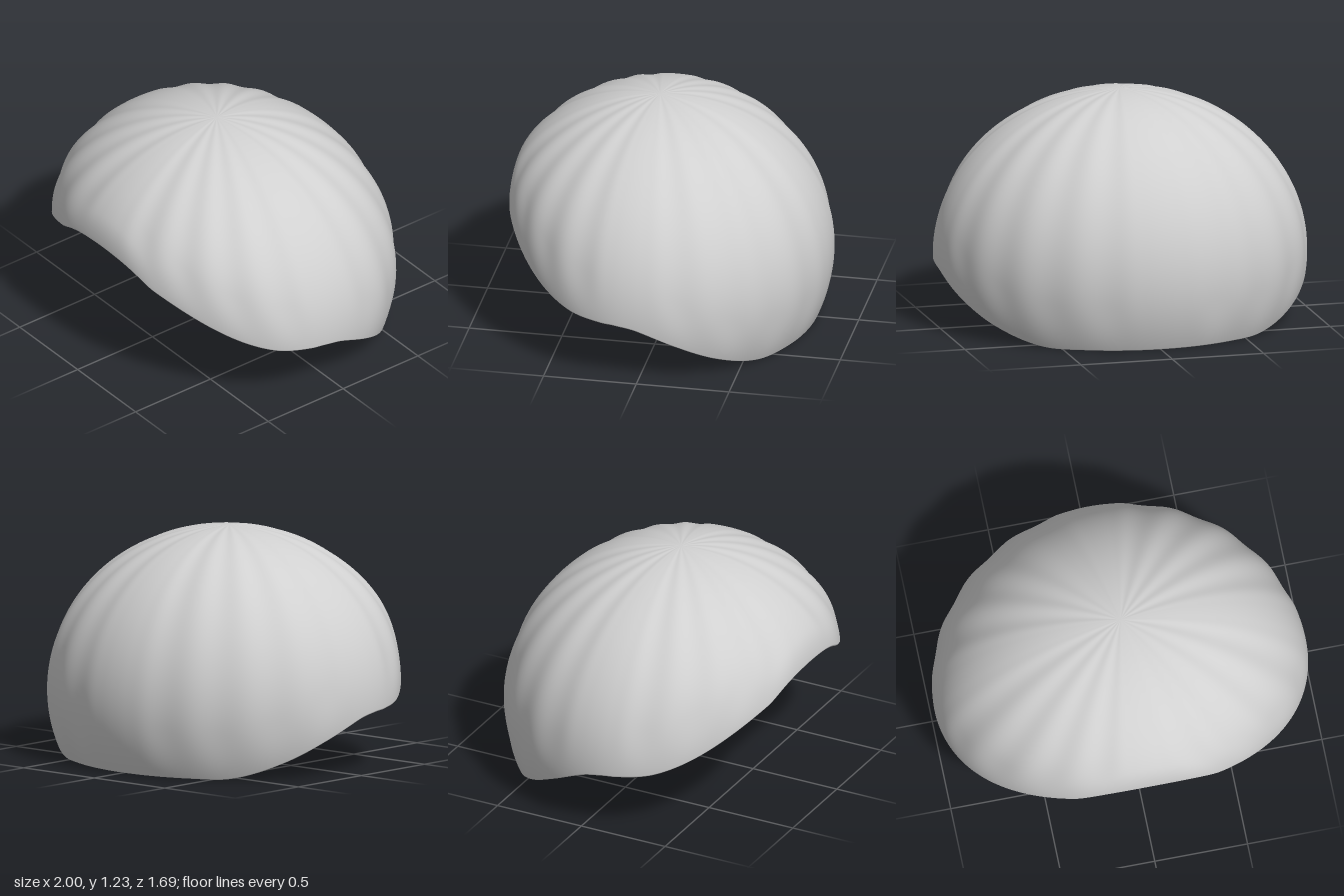
import * as THREE from 'three';

const CENTRE = { y: 0.35, z: 0.07 }, RADII = { x: 1, y: 0.88, z: 0.92 };
const AROUND = 240, DOWN = 48, WALL = 0.02, LINING = 0.012, HEM = 0.15;

// Height of the opening's edge along z, swooping up from the nape to the brow
const EDGE = [[-1, 0.01], [-0.7, 0.01], [-0.58, 0.016], [-0.4, 0.102], [-0.2, 0.215], [0, 0.312],
  [0.12, 0.337], [0.2, 0.342], [0.4, 0.37], [0.6, 0.467], [0.8, 0.64], [0.84, 0.725], [0.87, 0.8], [1, 0.95]];

function slope(i) {
  const a = EDGE[Math.max(0, i - 1)], b = EDGE[Math.min(EDGE.length - 1, i + 1)];
  return (b[1] - a[1]) / (b[0] - a[0]);
}

function edgeHeight(z) {
  let i = 0;
  while (i < EDGE.length - 2 && z > EDGE[i + 1][0]) i++;
  const [z0, y0] = EDGE[i], [z1, y1] = EDGE[i + 1], w = z1 - z0;
  const t = THREE.MathUtils.clamp((z - z0) / w, 0, 1), s = 1 - t;
  return y0 * (1 + 2 * t) * s * s + slope(i) * w * t * s * s
    + y1 * t * t * (3 - 2 * t) - slope(i + 1) * w * t * t * s;
}

function softMin(a, b, k) {
  const h = Math.max(k - Math.abs(a - b), 0) / k;
  return Math.min(a, b) - h * h * k / 4;
}

// Point on the dome: turn around y, tilt from the crown, depth into the wall
function domePoint(turn, tilt, depth) {
  const sinT = Math.sin(tilt), cosA = Math.cos(turn);
  const y = CENTRE.y + (RADII.y - depth) * Math.cos(tilt);
  // the front tucks in below the brow
  const tuck = cosA > 0 ? 0.3 * (0.87 - softMin(y, 0.87, 0.15)) : 0;
  const z = CENTRE.z + (RADII.z - tuck - depth) * sinT * cosA;
  return [(RADII.x - depth) * sinT * Math.sin(turn), y, softMin(z, 0.857 - depth, 0.06)];
}

// Shallow grooves fading at the crown, the edge and the four main panels
function fluteDepth(turn, tilt, end) {
  const { smoothstep } = THREE.MathUtils;
  const panel = smoothstep(Math.abs(Math.sin(2 * turn)), 0.1, 0.5);
  const fade = Math.min(1, 1.4 * Math.sin(tilt)) * smoothstep(end - tilt, 0, 0.3);
  return 0.01 * panel * fade * (0.5 + 0.5 * Math.cos(20 * turn));
}

// Tilt at which the dome meets the opening's edge
function edgeTilt(turn) {
  let lo = 0.3, hi = 2.4;
  for (let k = 0; k < 40; k++) {
    const mid = (lo + hi) / 2, p = domePoint(turn, mid, 0);
    if (p[1] > edgeHeight(p[2])) lo = mid; else hi = mid;
  }
  return lo;
}

// Outer crown down to the edge, round the lip and up the inside hem
function shellSection(turn) {
  const end = edgeTilt(turn), rows = [];
  for (let i = 0; i <= DOWN; i++) {
    const tilt = end * i / DOWN;
    rows.push(domePoint(turn, tilt, fluteDepth(turn, tilt, end)));
  }
  for (let k = 1; k < 8; k++) {
    const a = Math.PI * k / 8;
    rows.push(domePoint(turn, end + WALL / 2 * Math.sin(a), WALL / 2 * (1 - Math.cos(a))));
  }
  for (let k = 0; k <= 6; k++) rows.push(domePoint(turn, end - HEM * k / 6, WALL));
  return rows;
}

// Inside surface from the top of the hem up to the crown
function liningSection(turn) {
  const end = edgeTilt(turn) - HEM, rows = [domePoint(turn, end, WALL)];
  for (let i = DOWN; i >= 0; i--) rows.push(domePoint(turn, end * i / DOWN, LINING));
  return rows;
}

// Skin the cross-sections around y; a crown row shares one vertex
function skin(section, crownRow) {
  const positions = [], index = [];
  let count = 0;
  for (let j = 0; j < AROUND; j++) {
    const rows = section(2 * Math.PI * j / AROUND);
    count = rows.length;
    positions.push(...rows.flat());
  }
  const crown = crownRow === 'first' ? 0 : count - 1;
  const at = (i, j) => (i === crown ? 0 : j % AROUND) * count + i;
  for (let j = 0; j < AROUND; j++) {
    for (let i = 0; i < count - 1; i++) {
      const a = at(i, j), b = at(i + 1, j), c = at(i + 1, j + 1), d = at(i, j + 1);
      if (b !== c) index.push(a, b, c);
      if (a !== d) index.push(a, c, d);
    }
  }
  const geometry = new THREE.BufferGeometry();
  geometry.setAttribute('position', new THREE.Float32BufferAttribute(positions, 3));
  geometry.setIndex(index);
  geometry.computeVertexNormals();
  return geometry;
}

export function createModel() {
  const group = new THREE.Group();
  group.name = 'flutedCap';
  const grey = new THREE.MeshStandardMaterial({ color: 0xd0d0d0 });
  grey.name = 'lightGrey';
  const shell = new THREE.Mesh(skin(shellSection, 'first'), grey);
  shell.name = 'shellAndHem';
  const lining = new THREE.Mesh(skin(liningSection, 'last'), grey);
  lining.name = 'lining';
  group.add(shell, lining);
  return group;
}
